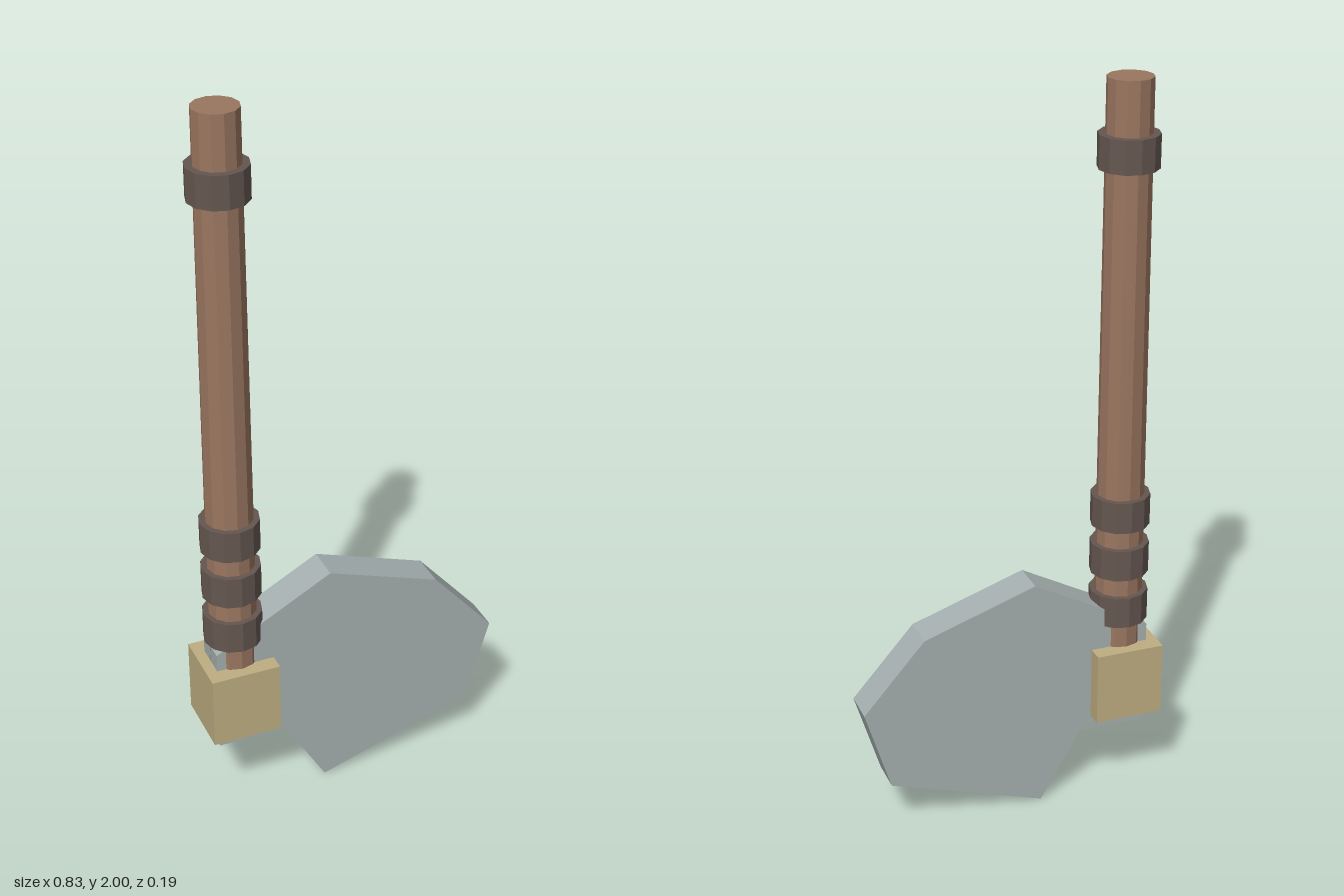
import * as THREE from 'three';

const X = -0.325; // handle axis

export function createModel() {
  const group = new THREE.Group();
  const paint = (color) => new THREE.MeshStandardMaterial({ color, flatShading: true });
  const wood = paint(0x9a7660), leather = paint(0x655750), brass = paint(0xbfae82), steel = paint(0xa6b0b0);

  const add = (name, geometry, material, x, y, z = 0) => {
    const mesh = new THREE.Mesh(geometry, material);
    mesh.name = name;
    mesh.position.set(x, y, z);
    group.add(mesh);
    return mesh;
  };

  // Slightly tapered shaft, its lower end buried in the socket
  add('handle', new THREE.CylinderGeometry(0.06, 0.066, 1.7, 12), wood, X, 1.15);

  // Bands wrapped round the shaft
  [0.555, 0.697, 0.838, 1.815].forEach((y, i) =>
    add(`gripBand${i + 1}`, new THREE.CylinderGeometry(0.08, 0.08, 0.088, 12), leather, X, y));

  // Block joining shaft and blade
  add('socketBlock', new THREE.BoxGeometry(0.19, 0.205, 0.19), brass, X, 0.342);

  // Flat faceted blade with a short tang behind the block
  const outline = [
    [-0.39, 0.195], [-0.2, 0.195], [-0.085, 0], [0.345, 0.142],
    [0.415, 0.372], [0.245, 0.565], [-0.065, 0.67], [-0.39, 0.495],
  ].map(([x, y]) => new THREE.Vector2(x, y));
  const blade = new THREE.ExtrudeGeometry(new THREE.Shape(outline), { depth: 0.1, bevelEnabled: false });
  add('blade', blade, steel, 0, 0, -0.05);

  return group;
}
